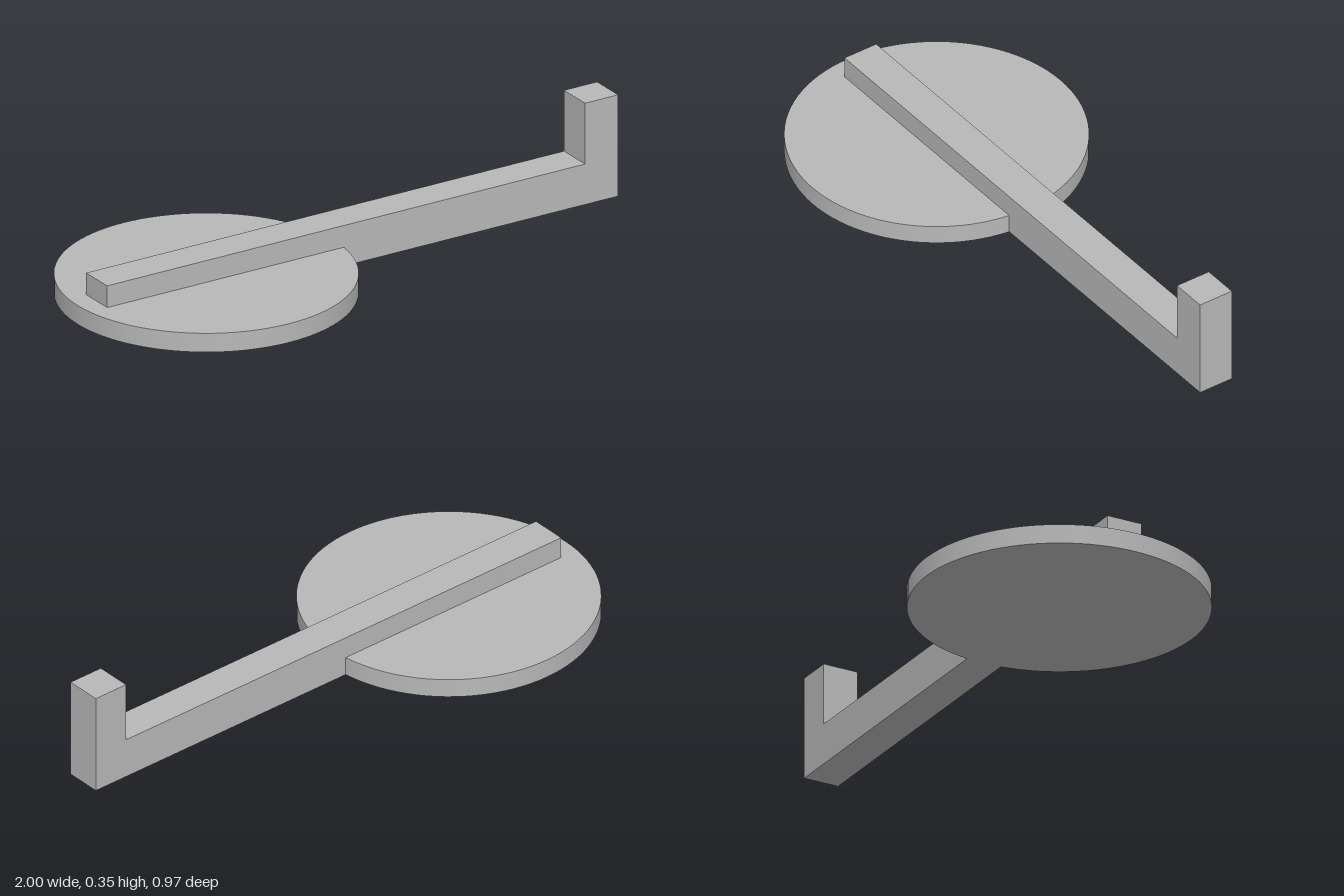
import * as THREE from 'three';

export function createModel() {
  const group = new THREE.Group();
  const grey = new THREE.MeshStandardMaterial({ color: 0xb8b8b8 });
  grey.name = 'plain grey';

  const discRadius = 0.484, discHeight = 0.065, discX = -0.516;
  const armWidth = 0.124, armTop = 0.14, postTop = 0.35;

  // Round base plate
  const disc = new THREE.Mesh(
    new THREE.CylinderGeometry(discRadius, discRadius, discHeight, 96), grey);
  disc.name = 'basePlate';
  disc.position.set(discX, discHeight / 2, 0);
  group.add(disc);

  // Hooked arm: lies on the plate, drops to the ground past its rim, rises in a post
  const profile = new THREE.Shape([
    [-0.93, discHeight], [-0.06, discHeight], [-0.06, 0], [1, 0],
    [1, postTop], [0.875, postTop], [0.875, armTop], [-0.93, armTop],
  ].map(([x, y]) => new THREE.Vector2(x, y)));
  const armGeometry = new THREE.ExtrudeGeometry(profile, { depth: armWidth, bevelEnabled: false });
  armGeometry.translate(0, 0, -armWidth / 2);
  const arm = new THREE.Mesh(armGeometry, grey);
  arm.name = 'hookedArm';
  group.add(arm);

  return group;
}
